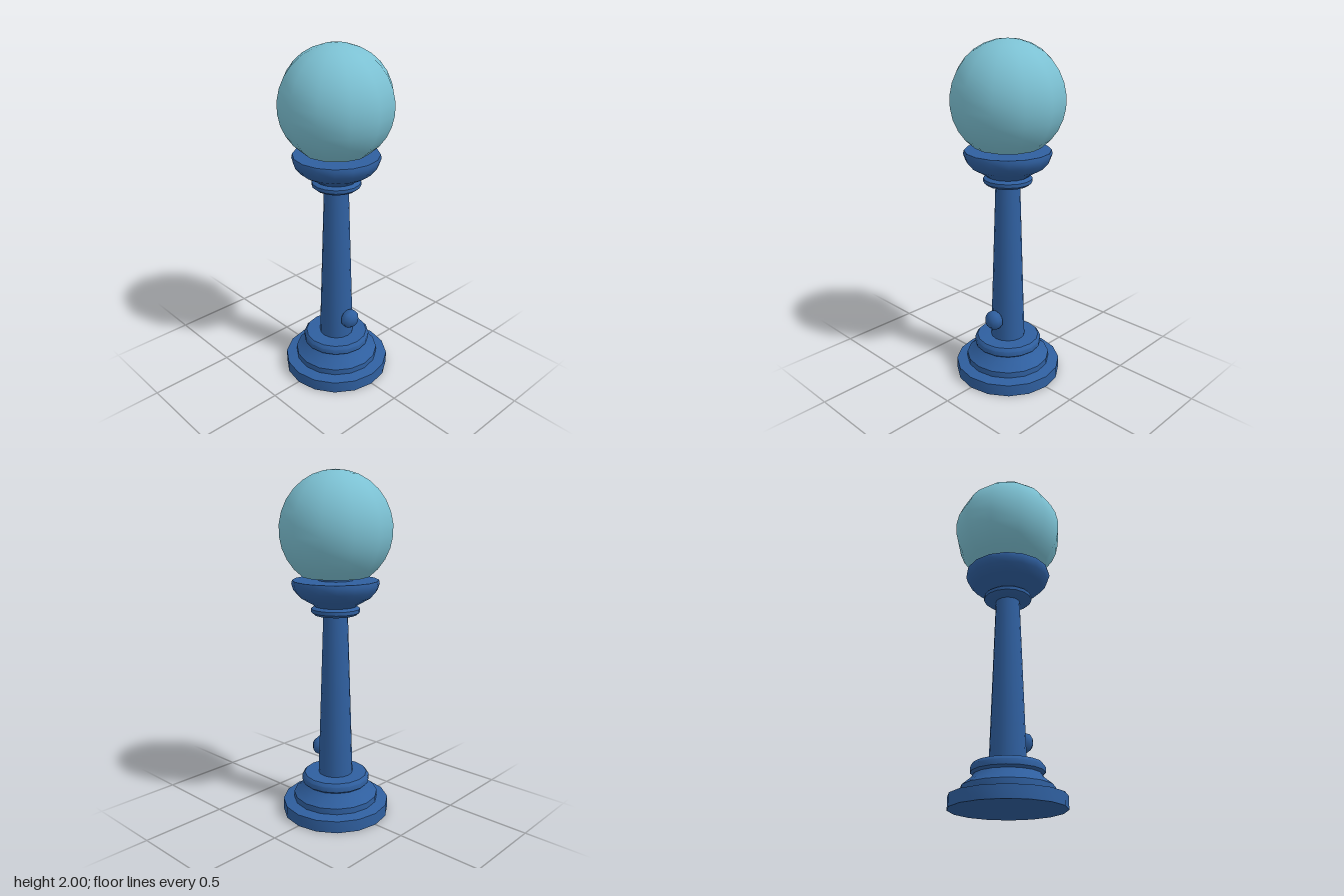
import * as THREE from 'three';
import { toCreasedNormals } from 'three/addons/utils/BufferGeometryUtils.js';

export function createModel() {
  const model = new THREE.Group();
  model.name = 'globeLamp';

  const paint = new THREE.MeshStandardMaterial({ color: 0x2f5f9f });
  paint.name = 'blue paint';
  const glass = new THREE.MeshStandardMaterial({ color: 0x7cc1d3 });
  glass.name = 'pale blue glass';

  // Turned part from [radius, height] pairs listed bottom to top
  function turned(name, profile, material, sides = 16, crease = 0.75) {
    const points = profile.map(([r, y]) => new THREE.Vector2(r, y));
    const geometry = toCreasedNormals(new THREE.LatheGeometry(points, sides), crease);
    const mesh = new THREE.Mesh(geometry, material);
    mesh.name = name;
    model.add(mesh);
    return mesh;
  }

  // Stepped foot
  turned('base', [
    [0, 0], [0.315, 0], [0.315, 0.07], [0.25, 0.08], [0.25, 0.115],
    [0.2, 0.155], [0.18, 0.185], [0, 0.185],
  ], paint);

  // Rounded ring round the foot of the column
  turned('baseRing', [
    [0, 0.18], [0.185, 0.18], [0.2, 0.192], [0.2, 0.222], [0.185, 0.24], [0, 0.245],
  ], paint);

  // Tapered column
  turned('column', [[0.102, 0.23], [0.07, 1.21]], paint);

  // Small collar under the bowl
  turned('collar', [
    [0, 1.2], [0.122, 1.2], [0.14, 1.215], [0.14, 1.235], [0.118, 1.25], [0, 1.25],
  ], paint);

  // Flared bowl
  turned('bowl', [
    [0, 1.235], [0.115, 1.245], [0.135, 1.262], [0.205, 1.302], [0.238, 1.34],
    [0.25, 1.375], [0.245, 1.397], [0, 1.397],
  ], paint);

  // Short neck that carries the globe
  turned('globeNeck', [[0.102, 1.39], [0.102, 1.44], [0, 1.44]], paint);

  // Globe with a cut-off bottom
  const radius = 0.322, rings = 12, globeProfile = [[0, 1.419]];
  for (let i = 0; i <= rings; i++) {
    const angle = Math.PI * 0.8 * (1 - i / rings);
    globeProfile.push([radius * Math.sin(angle), 1.678 + radius * Math.cos(angle)]);
  }
  turned('globe', globeProfile, glass, 12);

  // Round knob on the front of the column
  const knob = turned('knob', [
    [0, 0], [0.035, 0], [0.056, 0.022], [0.056, 0.054], [0.035, 0.078], [0, 0.082],
  ], paint, 10, 1);
  knob.rotation.x = Math.PI / 2;
  knob.position.set(0, 0.375, 0.08);

  return model;
}
